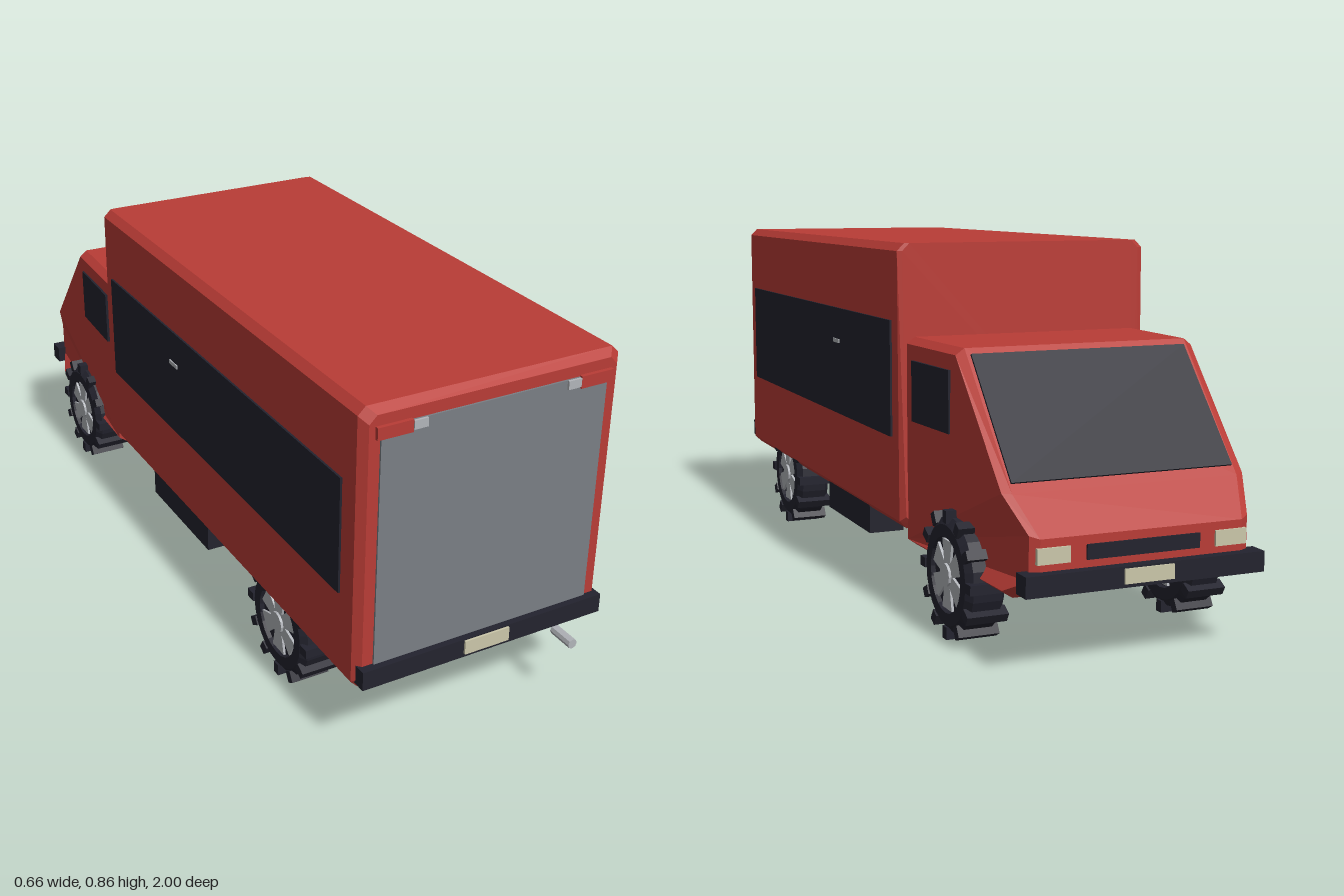
import * as THREE from 'three';

const mat = (name, color, side = THREE.FrontSide) => {
  const m = new THREE.MeshStandardMaterial({ color, side });
  m.name = name;
  return m;
};

// Faceted normals for any geometry
function faceted(geo) {
  const g = geo.index ? geo.toNonIndexed() : geo;
  g.computeVertexNormals();
  return g;
}

// Skin between closed rings of equal length, with fan caps at both ends
function loft(rings) {
  const n = rings[0].length;
  const idx = [];
  for (let r = 0; r < rings.length - 1; r++) {
    for (let j = 0; j < n; j++) {
      const a = r * n + j, b = r * n + (j + 1) % n;
      idx.push(a, b, b + n, a, b + n, a + n);
    }
  }
  const last = (rings.length - 1) * n;
  for (let j = 1; j < n - 1; j++) {
    idx.push(0, j + 1, j);
    idx.push(last, last + j, last + j + 1);
  }
  const g = new THREE.BufferGeometry();
  g.setAttribute('position', new THREE.Float32BufferAttribute(rings.flat(2), 3));
  g.setIndex(idx);
  return faceted(g);
}

export function createModel() {
  const red = mat('red paint', 0xb93c36);
  const dark = mat('dark trim', 0x23232e);
  const grey = mat('door grey', 0x7a7f85);
  const silver = mat('silver', 0xb2b5ba);
  const cream = mat('cream', 0xcbc7aa);
  const truck = new THREE.Group();
  truck.name = 'boxTruck';

  const add = (parent, name, geo, m, x = 0, y = 0, z = 0) => {
    const mesh = new THREE.Mesh(geo, m);
    mesh.name = name;
    mesh.position.set(x, y, z);
    parent.add(mesh);
    return mesh;
  };
  const box = (name, m, w, h, d, x, y, z, parent = truck) =>
    add(parent, name, new THREE.BoxGeometry(w, h, d), m, x, y, z);

  // Cargo body: chamfered octagon swept along z, front wall leaning slightly
  const section = (z, inset, lean = 0, top = inset) => {
    const w = 0.32 - inset, b = 0.187 + inset, t = 0.855 - top, c = 0.018;
    return [[-w + c, b], [w - c, b], [w, b + c], [w, t - c], [w - c, t], [-w + c, t], [-w, t - c], [-w, b + c]]
      .map(([x, y]) => [x, y, z + lean * (y - b) / (t - b)]);
  };
  add(truck, 'cargoBody', loft([
    section(-0.4, 0.012, 0.02, 0), section(-0.385, 0, 0.008), section(0.932, 0), section(0.95, 0.016),
  ]), red);

  // Cab: side profile (z, y, half width) with chamfered flanks
  const profile = [
    [-0.395, 0.15, 0.303], [-0.9, 0.15, 0.285], [-0.97, 0.185, 0.257], [-0.97, 0.285, 0.257],
    [-0.9, 0.366, 0.287], [-0.663, 0.64, 0.292], [-0.395, 0.64, 0.303],
  ];
  const flank = (s, outer) => profile.map(([z, y, w]) => outer
    ? [s * w, 0.39 + (y - 0.39) * 0.94, z === -0.395 ? z : -0.6 + (z + 0.6) * 0.97]
    : [s * (w - 0.02), y, z]);
  add(truck, 'cab', loft([flank(-1, true), flank(-1, false), flank(1, false), flank(1, true)]), red);

  // Windshield lying on the sloped nose
  box('windshield', dark, 0.526, 0.009, 0.32, 0, 0.505, -0.78).rotation.x = -0.858;

  // Details mirrored on both sides
  for (const s of [1, -1]) {
    box('sidePanelWindow', dark, 0.008, 0.275, 1.22, s * 0.321, 0.5375, 0.27);
    box('panelHandle', silver, 0.008, 0.01, 0.045, s * 0.324, 0.59, 0.063);
    box('cabSideWindow', dark, 0.009, 0.14, 0.2, s * 0.2985, 0.52, -0.535).rotation.y = s * 0.0485;
    box('sideTank', dark, 0.09, 0.085, 0.335, s * 0.262, 0.163, 0.033);
    box('headlight', cream, 0.075, 0.034, 0.012, s * 0.208, 0.25, -0.969);
    box('doorHinge', red, 0.083, 0.028, 0.012, s * 0.248, 0.801, 0.953);
    box('doorLamp', silver, 0.033, 0.02, 0.012, s * 0.189, 0.802, 0.954);
  }

  // Chassis, bumpers, tail door, plates, grille and exhaust
  box('chassis', dark, 0.42, 0.045, 1.27, 0, 0.176, 0.245);
  box('tailDoor', grey, 0.556, 0.6, 0.009, 0, 0.512, 0.95);
  box('tailBumper', dark, 0.626, 0.046, 0.04, 0, 0.227, 0.95);
  box('tailPlate', cream, 0.116, 0.034, 0.008, 0, 0.23, 0.971);
  box('noseBumper', dark, 0.56, 0.045, 0.045, 0, 0.195, -0.972);
  box('nosePlate', cream, 0.116, 0.032, 0.008, 0, 0.197, -0.995);
  box('grille', dark, 0.265, 0.032, 0.009, 0, 0.25, -0.97);
  const pipe = new THREE.CylinderGeometry(0.012, 0.012, 0.066, 8).rotateX(Math.PI / 2);
  add(truck, 'exhaustPipe', faceted(pipe), silver, 0.22, 0.163, 0.967);

  // Wheels: chamfered tyre, lugs, six wide spokes on both faces
  const tyreProfile = [
    [0, -0.036], [0.082, -0.036], [0.085, -0.046], [0.112, -0.046], [0.129, -0.033],
    [0.129, 0.033], [0.112, 0.046], [0.085, 0.046], [0.082, 0.036], [0, 0.036],
  ].map(([r, y]) => new THREE.Vector2(r, y));
  const tyreGeo = faceted(new THREE.LatheGeometry(tyreProfile, 24).rotateZ(Math.PI / 2));
  const lugGeo = new THREE.BoxGeometry(0.096, 0.028, 0.022).translate(0, 0.13, 0);
  const spokeShape = new THREE.Shape([[-0.013, 0.015], [0.013, 0.015], [0.027, 0.077], [-0.027, 0.077]]
    .map(([x, y]) => new THREE.Vector2(x, y)));
  const spokeGeo = new THREE.ExtrudeGeometry(spokeShape, { depth: 0.084, bevelEnabled: false })
    .translate(0, 0, -0.042).rotateY(Math.PI / 2);
  const hubGeo = faceted(new THREE.CylinderGeometry(0.026, 0.026, 0.096, 12).rotateZ(Math.PI / 2));
  for (const z of [0.59, -0.66]) {
    for (const s of [1, -1]) {
      const wheel = new THREE.Group();
      wheel.name = 'wheel';
      wheel.position.set(s * 0.27, 0.144, z);
      add(wheel, 'tyre', tyreGeo, dark);
      add(wheel, 'hub', hubGeo, silver);
      for (let i = 0; i < 12; i++) add(wheel, 'treadLug', lugGeo, dark).rotation.x = i * Math.PI / 6;
      for (let i = 0; i < 6; i++) add(wheel, 'spoke', spokeGeo, silver).rotation.x = i * Math.PI / 3;
      truck.add(wheel);
    }
  }
  return truck;
}
